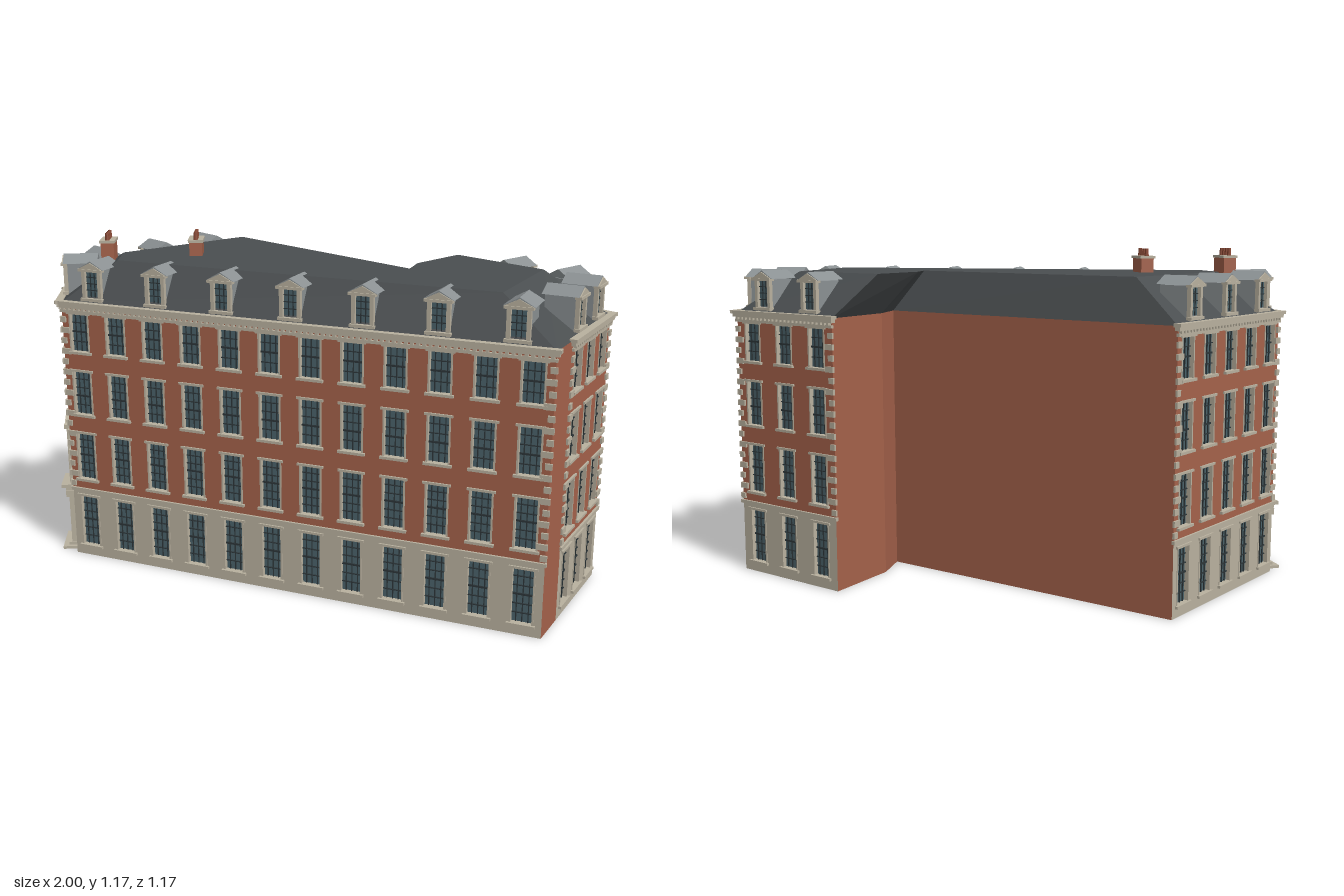
import * as THREE from 'three';
import { mergeGeometries } from 'three/addons/utils/BufferGeometryUtils.js';

const mat = (color) => new THREE.MeshStandardMaterial({ color, side: THREE.DoubleSide, flatShading: true });
const MATS = {
  brick: mat(0xa5624b), stone: mat(0xb9b19f), glass: mat(0x4b626a), bars: mat(0x2c3538),
  slate: mat(0x4a4e50), lead: mat(0x8b9193), pot: mat(0x8a4a35),
};

// Footprint corners [x, z] and the matching corners of the flat roof
const A = [-0.515, -0.565], B = [-0.955, -0.02], C = [-0.9, 0.185], D = [0.795, 0.557];
const D2 = [0.842, 0.42], E = [0.97, 0.045], F = [0.595, -0.245], G = [0.45, -0.01], H = [0.42, 0.126];
const EAVES = [A, B, C, D, E, F, G, H];
const ROOF_TOP = [[-0.4, -0.42], [-0.735, -0.015], [-0.705, 0.135], [0.626, 0.434],
  [0.744, 0.043], [0.444, -0.18], [0.32, 0.005], [0.305, 0.107]];
const EAVE_Y = 0.945, TOP_Y = 1.09, STONE_Y = 0.255;
// Bottom and top of the windows on each floor
const FLOORS = [[0.04, 0.23], [0.298, 0.47], [0.543, 0.7], [0.773, 0.907]];
const WIN_W = 0.08;

// Collects geometry per material, then makes one mesh for each
class Parts {
  constructor() { this.bins = {}; }
  add(kind, geo) {
    (this.bins[kind] ??= []).push(geo.index ? geo.toNonIndexed() : geo);
  }
  // Box by centre x, bottom y, back z
  box(kind, w, h, d, x, y, z) {
    this.add(kind, new THREE.BoxGeometry(w, h, d).translate(x, y + h / 2, z + d / 2));
  }
  // Triangular prism for gables and pediments
  gable(kind, w, h, d, x, y, z) {
    const s = new THREE.Shape([[-w / 2, 0], [w / 2, 0], [0, h]].map((p) => new THREE.Vector2(...p)));
    this.add(kind, new THREE.ExtrudeGeometry(s, { depth: d, bevelEnabled: false }).translate(x, y, z));
  }
  build(name) {
    const g = new THREE.Group();
    g.name = name;
    for (const [kind, list] of Object.entries(this.bins)) {
      const m = new THREE.Mesh(mergeGeometries(list), MATS[kind]);
      m.name = `${name} ${kind}`;
      g.add(m);
    }
    return g;
  }
}

const rect = (Type, x0, y0, x1, y1) =>
  new Type([[x0, y0], [x1, y0], [x1, y1], [x0, y1]].map((p) => new THREE.Vector2(...p)));

// Glass with glazing bars, stone jambs, sill and lintel
function addWindow(p, x, y0, y1, w = WIN_W, z = -0.014) {
  const h = y1 - y0;
  p.add('glass', new THREE.PlaneGeometry(w, h).translate(x, y0 + h / 2, z));
  for (const k of [-0.25, 0, 0.25]) p.box('bars', 0.003, h, 0.004, x + k * w, y0, z);
  const rows = Math.round(h / 0.03);
  for (let i = 1; i < rows; i++) {
    p.box('bars', w, i === rows >> 1 ? 0.006 : 0.003, 0.005, x, y0 + (i * h) / rows, z);
  }
  for (const s of [-1, 1]) p.box('stone', 0.006, h, 0.016, x + s * (w / 2 - 0.003), y0, z);
  p.box('stone', w + 0.014, 0.009, 0.024, x, y0 - 0.008, z);
  p.box('stone', w + 0.014, 0.008, 0.02, x, y1, z);
}

// Dormer with its front on the wall plane
function addDormer(p, x) {
  p.box('lead', 0.07, 0.115, 0.1, x, 0.95, -0.118);
  p.add('glass', new THREE.PlaneGeometry(0.05, 0.09).translate(x, 1.015, -0.016));
  for (const k of [-0.008, 0.008]) p.box('bars', 0.003, 0.09, 0.003, x + k, 0.97, -0.016);
  for (let i = 1; i < 4; i++) p.box('bars', 0.05, 0.003, 0.003, x, 0.97 + i * 0.0225, -0.016);
  for (const s of [-1, 1]) p.box('stone', 0.013, 0.11, 0.014, x + s * 0.031, 0.955, -0.018);
  p.box('stone', 0.085, 0.01, 0.02, x, 0.957, -0.018);
  p.box('stone', 0.092, 0.009, 0.022, x, 1.06, -0.018);
  p.gable('stone', 0.09, 0.022, 0.016, x, 1.069, -0.016);
  p.gable('lead', 0.1, 0.028, 0.12, x, 1.068, -0.124);
}

// Arched door, steps, hood and the framed window above it
function addEntrance(p, x) {
  p.add('glass', new THREE.PlaneGeometry(0.09, 0.2).translate(x, 0.105, -0.015));
  p.box('bars', 0.004, 0.19, 0.004, x, 0.01, -0.015);
  p.box('bars', 0.08, 0.005, 0.004, x, 0.145, -0.015);
  p.box('stone', 0.15, 0.01, 0.055, x, 0, 0);
  p.box('stone', 0.12, 0.01, 0.035, x, 0.01, 0);
  p.box('stone', 0.125, 0.012, 0.05, x, 0.238, 0);
  p.box('stone', 0.11, 0.018, 0.035, x, 0.22, 0);
  for (const s of [-1, 1]) {
    p.box('stone', 0.016, 0.2, 0.024, x + s * 0.05, 0.02, 0);
    p.box('stone', 0.018, 0.024, 0.035, x + s * 0.05, 0.2, 0);
    p.box('stone', 0.014, 0.205, 0.018, x + s * 0.05, 0.262, 0);
  }
  p.box('stone', 0.125, 0.014, 0.026, x, 0.467, 0);
  p.gable('stone', 0.125, 0.026, 0.024, x, 0.481, 0);
}

// One street front from P to Q, built flat with +z outwards, then turned into place
function facade(name, P, Q, cols, pitch, dormers, door = false) {
  const p = new Parts();
  const dx = Q[0] - P[0], dz = Q[1] - P[1], L = Math.hypot(dx, dz);
  const xs = Array.from({ length: cols }, (_, i) => L / 2 + (i - (cols - 1) / 2) * pitch);
  const ground = rect(THREE.Shape, 0, 0, L, STONE_Y);
  const upper = rect(THREE.Shape, 0, STONE_Y, L, EAVE_Y);
  xs.forEach((x) => FLOORS.forEach(([y0, y1], f) => {
    if (door && f === 0) {
      const hole = new THREE.Path();
      hole.moveTo(x - 0.04, 0.01).lineTo(x + 0.04, 0.01).lineTo(x + 0.04, 0.15);
      hole.absarc(x, 0.15, 0.04, 0, Math.PI, false);
      ground.holes.push(hole);
      return;
    }
    (f ? upper : ground).holes.push(rect(THREE.Path, x - WIN_W / 2, y0, x + WIN_W / 2, y1));
    addWindow(p, x, y0, y1);
  }));
  p.add('stone', new THREE.ShapeGeometry(ground, 6));
  p.add('brick', new THREE.ShapeGeometry(upper));
  if (door) addEntrance(p, L / 2);

  // String course and cornice with dentils
  p.box('stone', L + 0.012, 0.012, 0.012, L / 2, 0.25, -0.004);
  p.box('stone', L + 0.01, 0.01, 0.01, L / 2, 0.912, -0.002);
  p.box('stone', L + 0.022, 0.012, 0.018, L / 2, 0.93, -0.004);
  p.box('stone', L + 0.034, 0.011, 0.026, L / 2, 0.942, -0.006);
  const n = Math.round(L / 0.02);
  for (let i = 0; i < n; i++) p.box('stone', 0.01, 0.01, 0.012, ((i + 0.5) * L) / n, 0.921, 0);

  // Quoins in alternating lengths at both ends
  for (let i = 0; i < 17; i++) {
    const w = door ? 0.016 + (i % 2) * 0.01 : 0.022 + (i % 2) * 0.014;
    for (const x of [w / 2 - 0.006, L - w / 2 + 0.006]) p.box('stone', w, 0.02, 0.008, x, 0.268 + i * 0.038, -0.001);
  }
  dormers.forEach((x) => addDormer(p, x));

  const g = p.build(name);
  g.position.set(P[0], 0, P[1]);
  g.rotation.y = Math.atan2(-dz, dx);
  return g;
}

// Strip of quads and triangles joining two loops of points
function quads(list) {
  const v = list.flatMap(([a, b, c, d]) => [a, b, c, a, c, d].flat());
  const geo = new THREE.BufferGeometry();
  geo.setAttribute('position', new THREE.Float32BufferAttribute(v, 3));
  geo.computeVertexNormals();
  return geo;
}

function plainWalls() {
  const geo = quads([[D, D2], [F, G], [G, H], [H, A]].map(([p, q]) => [
    [p[0], 0, p[1]], [q[0], 0, q[1]], [q[0], EAVE_Y, q[1]], [p[0], EAVE_Y, p[1]]]));
  const m = new THREE.Mesh(geo, MATS.brick);
  m.name = 'plain brick walls';
  return m;
}

function mansardRoof() {
  const g = new THREE.Group();
  g.name = 'mansard roof';
  const slopes = new THREE.Mesh(quads(EAVES.map((p, i) => {
    const j = (i + 1) % EAVES.length, q = EAVES[j], r = ROOF_TOP[j], s = ROOF_TOP[i];
    return [[p[0], EAVE_Y, p[1]], [q[0], EAVE_Y, q[1]], [r[0], TOP_Y, r[1]], [s[0], TOP_Y, s[1]]];
  })), MATS.slate);
  slopes.name = 'roof slopes';
  const shape = new THREE.Shape(ROOF_TOP.map(([x, z]) => new THREE.Vector2(x, -z)));
  const top = new THREE.Mesh(new THREE.ShapeGeometry(shape).rotateX(-Math.PI / 2).translate(0, TOP_Y, 0), MATS.slate);
  top.name = 'flat roof';
  g.add(slopes, top);
  return g;
}

function chimney(x, z) {
  const p = new Parts();
  p.box('brick', 0.045, 0.11, 0.09, 0, 1.03, -0.045);
  p.box('stone', 0.053, 0.009, 0.098, 0, 1.138, -0.049);
  for (let i = 0; i < 4; i++) {
    p.add('pot', new THREE.CylinderGeometry(0.006, 0.008, 0.026, 8).translate(0, 1.159, (i - 1.5) * 0.023));
  }
  const g = p.build('chimney');
  g.position.set(x, 0, z);
  g.rotation.y = 0.21;
  return g;
}

export function createModel() {
  const model = new THREE.Group();
  model.name = 'corner building';
  const frontDormers = Array.from({ length: 7 }, (_, i) => 0.123 + i * 0.2485);
  model.add(
    facade('front facade', C, D, 12, 0.1457, frontDormers),
    facade('left end facade', D2, E, 3, 0.13, [0.1, 0.29]),
    facade('left rear facade', E, F, 3, 0.16, [0.13, 0.36]),
    facade('right rear facade', A, B, 5, 0.1425, [0.12, 0.35, 0.586]),
    facade('entrance corner', B, C, 1, 0, [0.1], true),
    plainWalls(), mansardRoof(), chimney(-0.77, 0.037), chimney(-0.47, -0.032),
  );
  return model;
}
